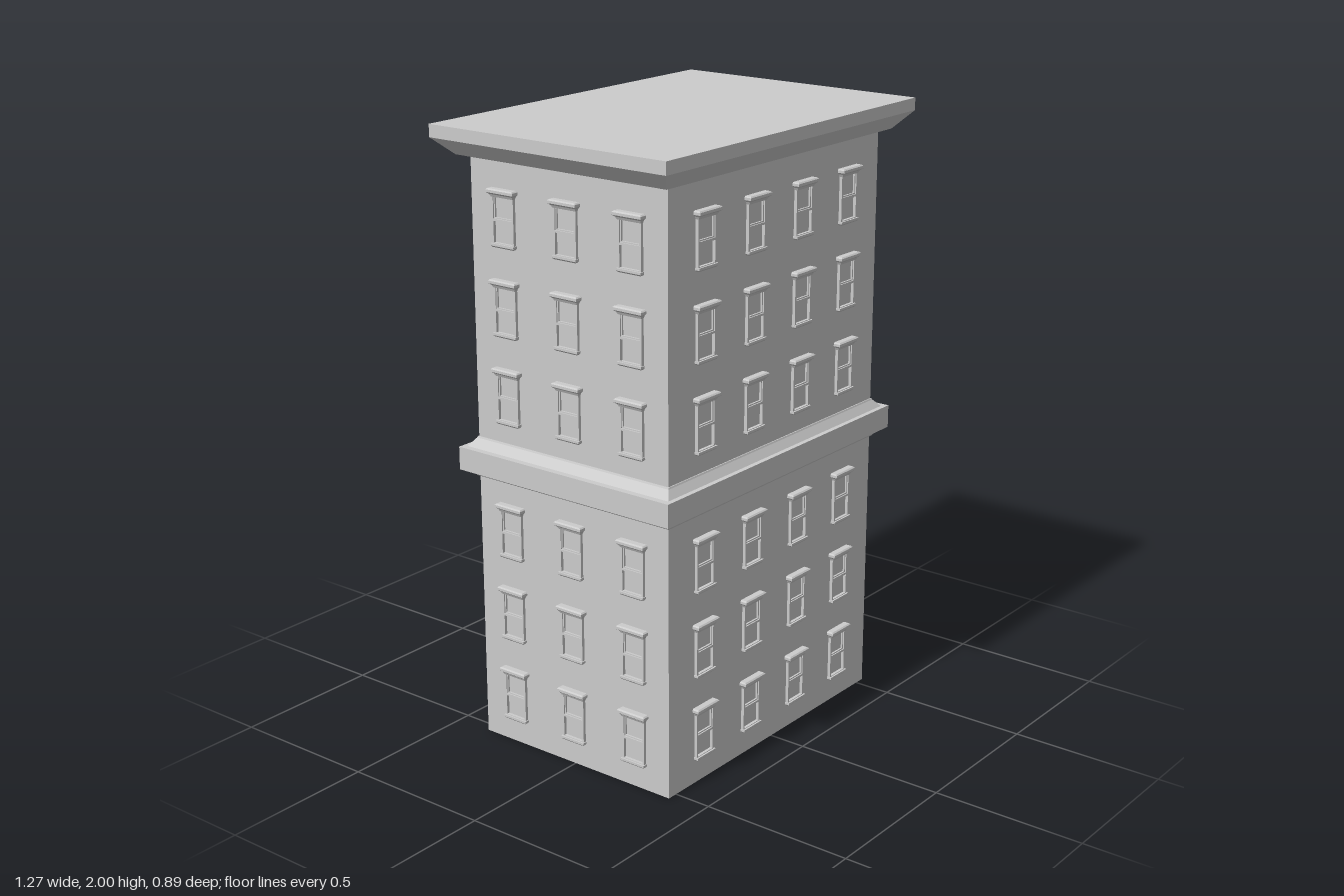
import * as THREE from 'three';

const mat = new THREE.MeshStandardMaterial({ color: 0xcccccc, flatShading: true });
const HX = 0.535, HZ = 0.375;      // half width and depth of the walls
const WALL = 0.032;

function add(parent, name, geometry) {
  const mesh = new THREE.Mesh(geometry, mat);
  mesh.name = name;
  parent.add(mesh);
  return mesh;
}

// Stack of rectangles, rows of [halfWidth, zBack, zFront, y], listed along the surface
function loft(rows, capped) {
  const pos = [], idx = [];
  for (const [w, b, f, y] of rows) pos.push(w, y, f, w, y, b, -w, y, b, -w, y, f);
  for (let i = 0; i < rows.length - 1; i++) {
    for (let k = 0; k < 4; k++) {
      const a = i * 4 + k, n = i * 4 + (k + 1) % 4;
      idx.push(a, n, n + 4, a, n + 4, a + 4);
    }
  }
  if (capped) {
    const t = (rows.length - 1) * 4;
    idx.push(t, t + 1, t + 2, t, t + 2, t + 3, 0, 2, 1, 0, 3, 2);
  }
  const g = new THREE.BufferGeometry();
  g.setAttribute('position', new THREE.Float32BufferAttribute(pos, 3));
  g.setIndex(idx);
  const flat = g.toNonIndexed();
  flat.computeVertexNormals();
  return flat;
}

const centred = rows => rows.map(([x, z, y]) => [x, -z, z, y]);

function rect(path, w, y0, y1) {
  path.moveTo(-w, y0);
  path.lineTo(w, y0);
  path.lineTo(w, y1);
  path.lineTo(-w, y1);
  path.closePath();
  return path;
}

// Window geometries: origin at the bottom centre of the sill, wall plane at z = 0
const frameShape = rect(new THREE.Shape(), 0.043, 0.008, 0.16);
frameShape.holes.push(rect(new THREE.Path(), 0.037, 0.014, 0.080));
frameShape.holes.push(rect(new THREE.Path(), 0.037, 0.087, 0.156));
const frameGeo = new THREE.ExtrudeGeometry(frameShape, { depth: 0.01, bevelEnabled: false });
const sashShape = rect(new THREE.Shape(), 0.037, 0.087, 0.156);
sashShape.holes.push(rect(new THREE.Path(), 0.033, 0.091, 0.152));
const sashGeo = new THREE.ExtrudeGeometry(sashShape, { depth: 0.006, bevelEnabled: false });
const lintelGeo = loft([
  [0.043, 0, 0.012, 0.154], [0.047, 0, 0.016, 0.162], [0.053, 0, 0.024, 0.168],
  [0.053, 0, 0.024, 0.176], [0.049, 0, 0.02, 0.18],
], true);
const sillGeo = loft([
  [0.041, 0, 0.011, 0], [0.046, 0, 0.016, 0.005], [0.046, 0, 0.016, 0.012],
], true);

function makeWindow() {
  const w = new THREE.Group();
  w.name = 'window';
  add(w, 'windowFrame', frameGeo);
  add(w, 'upperSash', sashGeo);
  add(w, 'lintel', lintelGeo);
  add(w, 'sill', sillGeo);
  return w;
}

export function createModel() {
  const model = new THREE.Group();
  model.name = 'apartmentBuilding';

  // Hollow walls, open at the bottom
  const plan = rect(new THREE.Shape(), HX, -HZ, HZ);
  plan.holes.push(rect(new THREE.Path(), HX - WALL, -HZ + WALL, HZ - WALL));
  const walls = new THREE.ExtrudeGeometry(plan, { depth: 1.92, bevelEnabled: false });
  walls.rotateX(-Math.PI / 2);
  add(model, 'walls', walls);

  // Moulded band around the middle
  add(model, 'middleBand', loft(centred([
    [HX, HZ, 0.883], [0.54, 0.38, 0.885], [0.565, 0.398, 0.91], [0.586, 0.414, 0.91],
    [0.586, 0.414, 0.985], [0.565, 0.398, 0.985], [0.54, 0.38, 1.01], [0.538, 0.378, 1.015],
    [HX, HZ, 1.015],
  ]), false));

  // Roof slab with flared cornice
  add(model, 'roofCornice', loft(centred([
    [0.572, 0.4, 1.905], [0.633, 0.447, 1.96], [0.633, 0.447, 2],
  ]), true));

  // Windows on the front and both sides; the back is blank
  const faces = [
    { name: 'front', angle: 0, out: HZ, cols: [-0.365, -0.122, 0.122, 0.365] },
    { name: 'left', angle: Math.PI / 2, out: HX, cols: [-0.243, 0, 0.243] },
    { name: 'right', angle: -Math.PI / 2, out: HX, cols: [-0.243, 0, 0.243] },
  ];
  for (const { name, angle, out, cols } of faces) {
    const face = new THREE.Group();
    face.name = name + 'Windows';
    face.rotation.y = angle;
    for (const base of [0.077, 1.077]) {
      for (let row = 0; row < 3; row++) {
        for (const x of cols) {
          const w = makeWindow();
          w.position.set(x, base + row * 0.279, out);
          face.add(w);
        }
      }
    }
    model.add(face);
  }
  return model;
}
